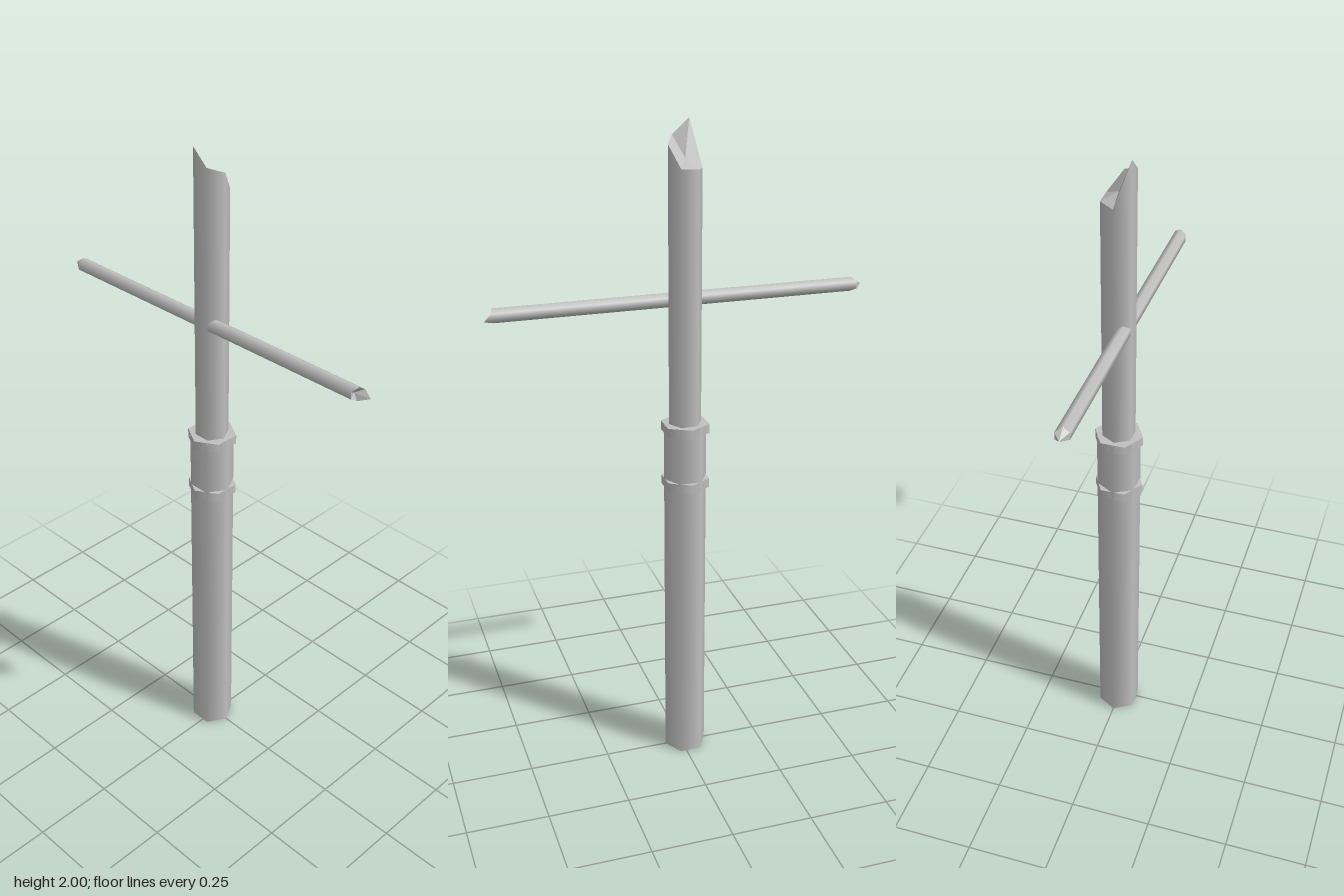
import * as THREE from 'three';

const SIDES = 6;

// Six-sided rod along y; each rim corner and cap centre has its own height, so ends can be splintered.
function rod(name, material, radius, low, lowCentre, high, highCentre, thetaStart = Math.PI / 2) {
  const group = new THREE.Group();
  group.name = name;

  // smooth-shaded shaft
  const side = new THREE.CylinderGeometry(radius, radius, 1, SIDES, 1, true, thetaStart);
  const pos = side.attributes.position;
  for (let i = 0; i < pos.count; i++) {
    const corner = i % (SIDES + 1) % SIDES;
    pos.setY(i, pos.getY(i) > 0 ? high[corner] : low[corner]);
  }
  const shaft = new THREE.Mesh(side, material);
  shaft.name = name + 'Shaft';

  // faceted end caps as fans around their centres
  const points = [];
  const corner = (i, heights) => {
    const a = thetaStart + (i % SIDES) * Math.PI * 2 / SIDES;
    return [radius * Math.sin(a), heights[i % SIDES], radius * Math.cos(a)];
  };
  for (let i = 0; i < SIDES; i++) {
    points.push(0, highCentre, 0, ...corner(i, high), ...corner(i + 1, high));
    points.push(0, lowCentre, 0, ...corner(i + 1, low), ...corner(i, low));
  }
  const caps = new THREE.BufferGeometry();
  caps.setAttribute('position', new THREE.Float32BufferAttribute(points, 3));
  caps.computeVertexNormals();
  const ends = new THREE.Mesh(caps, material);
  ends.name = name + 'Ends';

  group.add(shaft, ends);
  return group;
}

const level = (y) => new Array(SIDES).fill(y);

export function createModel() {
  const model = new THREE.Group();
  model.name = 'brokenMast';
  const grey = new THREE.MeshStandardMaterial({ color: 0xc0c0c0 });
  grey.name = 'grey';

  // upright parts share one axis
  const mast = new THREE.Group();
  mast.name = 'mast';
  mast.position.x = -0.0125;
  model.add(mast);

  // thick lower pole
  mast.add(rod('lowerPole', grey, 0.066, level(0), 0, level(1.12), 1.12));

  // thinner upper pole with a splintered top
  mast.add(rod('upperPole', grey, 0.05, level(1.0), 1.0,
    [1.937, 1.875, 1.873, 1.868, 2.0, 1.955], 1.897));

  // two collars, turned so that their corners point forward and back
  for (const [name, y] of [['lowerCollar', 0.92], ['upperCollar', 1.095]]) {
    mast.add(rod(name, grey, 0.0735, level(y), y, level(y + 0.028), y + 0.028, 0));
  }

  // crossbar near the front face: pointed right end, splintered left end
  const bar = rod('crossbar', grey, 0.0215,
    [-0.537, -0.55, -0.55, -0.537, -0.54, -0.54], -0.57,
    [0.535, 0.565, 0.545, 0.54, 0.53, 0.53], 0.525);
  bar.rotation.z = -Math.PI / 2;
  bar.position.set(0, 1.494, 0.0235);
  model.add(bar);

  return model;
}
